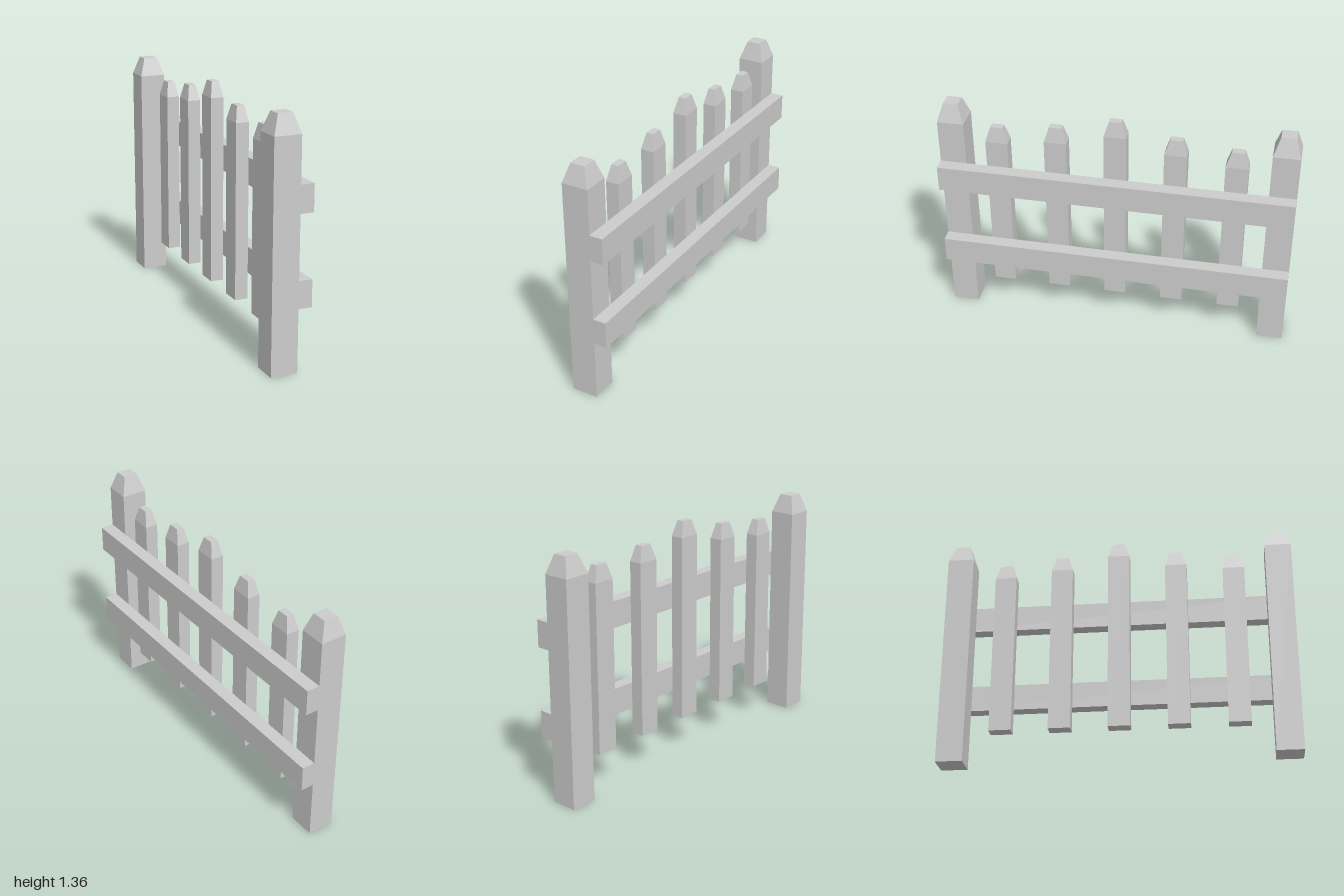
import * as THREE from 'three';

const material = new THREE.MeshStandardMaterial({ color: 0xcccccc, flatShading: true });

// Upright board: straight shaft with a tapered, flat-topped tip
function stake(name, w, d, bottom, shoulder, top, x, z) {
  const geo = new THREE.BoxGeometry(w, 1, d, 1, 2, 1);
  const p = geo.attributes.position;
  for (let i = 0; i < p.count; i++) {
    const level = Math.round((p.getY(i) + 0.5) * 2);
    const s = level === 2 ? 0.55 : 1;
    p.setXYZ(i, p.getX(i) * s, [bottom, shoulder, top][level], p.getZ(i) * s);
  }
  geo.computeVertexNormals();
  const mesh = new THREE.Mesh(geo, material);
  mesh.name = name;
  mesh.position.set(x, 0, z);
  return mesh;
}

export function createModel() {
  const fence = new THREE.Group();
  fence.name = 'picketFence';

  // Thick end posts standing on the ground
  for (const side of [-1, 1]) {
    fence.add(stake('endPost', 0.15, 0.15, 0, 1.252, 1.357, -0.0375, side * 0.925));
  }

  // Thin pickets, tallest in the middle
  const tops = [1.357, 1.282, 1.245];
  for (let i = -2; i <= 2; i++) {
    const top = tops[Math.abs(i)];
    fence.add(stake('picket', 0.075, 0.125, 0.2, top - 0.088, top, 0, i * 0.3335));
  }

  // Two horizontal rails on the left face
  for (const y of [0.425, 0.925]) {
    const rail = new THREE.Mesh(new THREE.BoxGeometry(0.075, 0.15, 2), material);
    rail.name = 'rail';
    rail.position.set(0.075, y, 0);
    fence.add(rail);
  }
  return fence;
}
